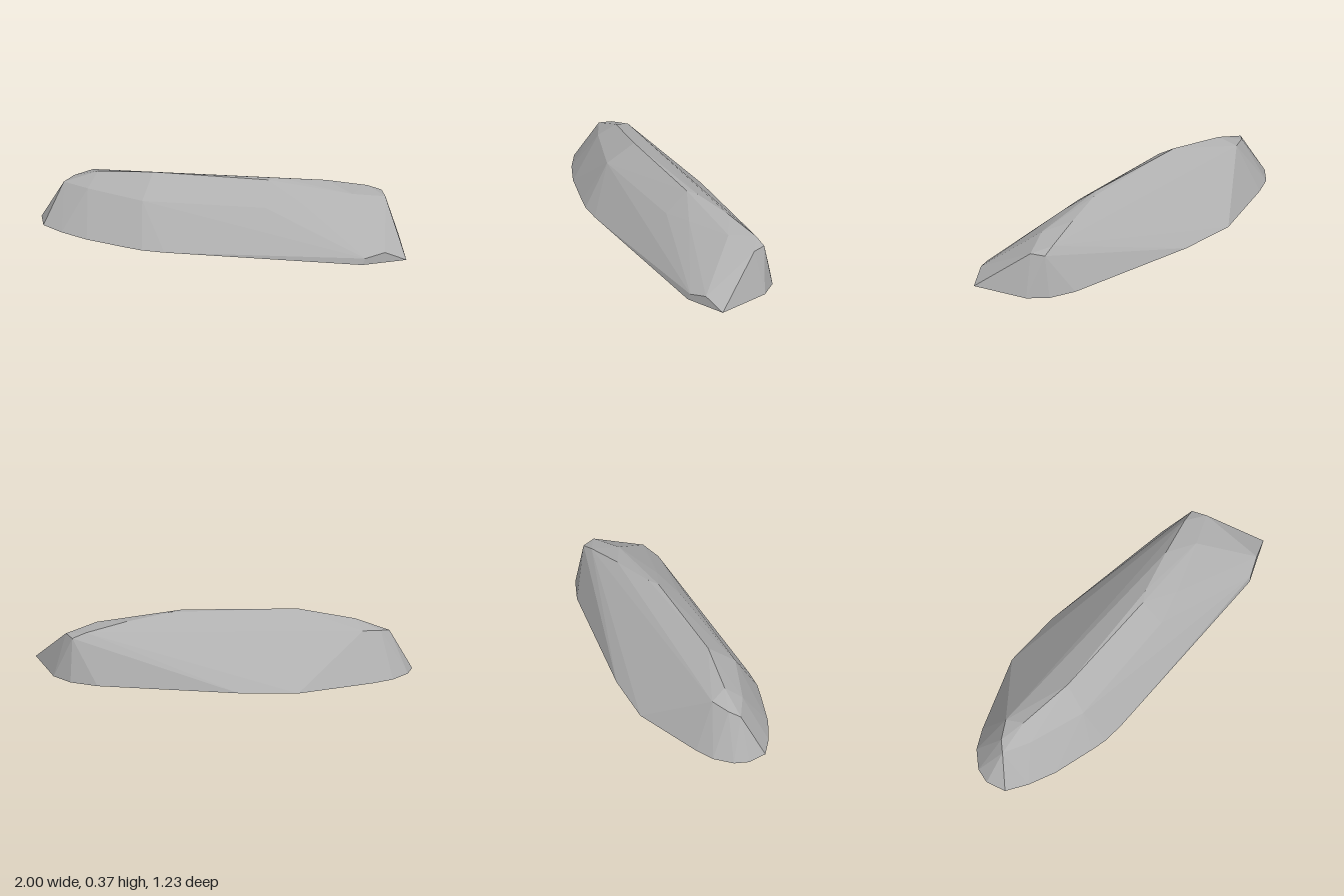
import * as THREE from 'three';
import { ConvexGeometry } from 'three/addons/geometries/ConvexGeometry.js';

export function createModel() {
  const group = new THREE.Group();
  group.name = 'rock';
  const stone = new THREE.MeshStandardMaterial({ color: 0xb0b0b0 });
  stone.name = 'stone grey';

  // Outline on the ground: x, z
  const footprint = [
    [-1, -0.37], [-0.98, -0.49], [-0.92, -0.56], [-0.8, -0.61], [-0.67, -0.615],
    [-0.2, -0.58], [0.12, -0.43], [0.83, 0.02], [0.95, 0.14], [1, 0.27],
    [0.96, 0.61], [0.69, 0.61], [-0.4, 0.16], [-0.52, 0.1], [-0.6, 0.04],
    [-0.8, -0.12], [-0.92, -0.25],
  ].map(([x, z]) => [x, 0, z]);

  // Crest running along the length: x, y, z
  const crest = [
    [-0.86, 0.24, -0.43], [-0.79, 0.26, -0.46], [-0.67, 0.28, -0.47],
    [-0.67, 0.32, -0.36], [-0.38, 0.365, -0.18], [0.25, 0.365, 0.09],
    [0.32, 0.365, 0.08], [0.6, 0.335, 0.12], [0.84, 0.29, 0.16],
    [0.92, 0.26, 0.18], [0.92, 0.26, 0.27], [0.72, 0.3, 0.27],
  ];

  // Shoulder along the front slope and the chipped front corner
  const shoulder = [
    [-0.75, 0.25, -0.29], [-0.48, 0.25, -0.05], [0.2, 0.25, 0.22],
    [0.4, 0.28, 0.25], [0.71, 0.04, 0.61], [0.83, 0.065, 0.61],
  ];

  const points = [...footprint, ...crest, ...shoulder].map((p) => new THREE.Vector3(...p));
  const boulder = new THREE.Mesh(new ConvexGeometry(points), stone);
  boulder.name = 'boulder';
  group.add(boulder);
  return group;
}
